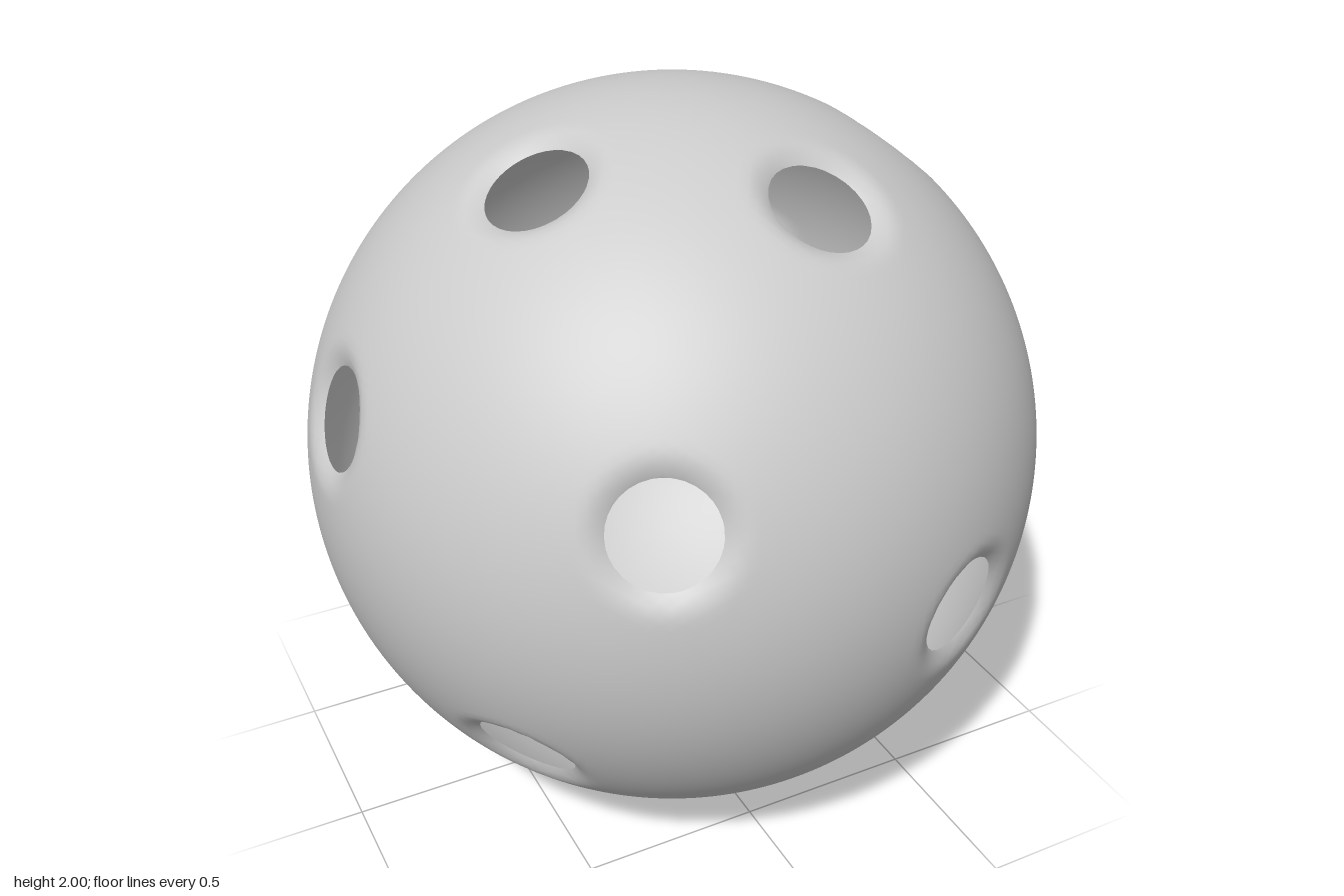
import * as THREE from 'three';
import { mergeVertices } from 'three/addons/utils/BufferGeometryUtils.js';

// Directions of the hole centres, seen from the centre of the ball
const HOLES = [
  [-0.43, 0.27, 0.82], [0.36, -0.13, 0.885], [-0.66, -0.5, 0.49], [0.13, -0.86, 0.42],
  [0.96, 0, 0.15], [0.15, 0.82, 0.48], [-0.43, 0.85, 0.14], [0.62, 0.74, 0],
  [0.63, 0.14, -0.72], [0.75, -0.6, -0.08], [0.34, -0.39, -0.81], [-0.3, 0.615, -0.68],
  [0.15, 0.82, -0.48], [-0.92, 0.28, 0], [-0.44, 0.01, -0.86], [-0.34, -0.86, -0.27],
].map((p) => new THREE.Vector3(...p).normalize());

const HOLE_ANGLE = 0.139; // angular radius of each opening
const RIM_ANGLE = 0.2;    // where the softened rim meets the sphere
const RIM_DEPTH = 0.027;  // how far the rim sinks inward

function perforatedSphere() {
  let geo = new THREE.IcosahedronGeometry(1, 44);
  geo.deleteAttribute('uv');
  geo.deleteAttribute('normal');
  geo = mergeVertices(geo, 1e-4);

  const pos = geo.attributes.position;
  const inside = new Int8Array(pos.count).fill(-1);
  const v = new THREE.Vector3();
  const side = new THREE.Vector3();

  // Push points out of each opening onto its edge and sink the rim around it
  for (let i = 0; i < pos.count; i++) {
    v.fromBufferAttribute(pos, i).normalize();
    HOLES.forEach((dir, h) => {
      const angle = v.angleTo(dir);
      if (angle >= RIM_ANGLE) return;
      if (angle <= HOLE_ANGLE) inside[i] = h;
      const a = Math.max(angle, HOLE_ANGLE);
      const t = (RIM_ANGLE - a) / (RIM_ANGLE - HOLE_ANGLE);
      side.copy(v).addScaledVector(dir, -v.dot(dir)).normalize();
      v.copy(dir).multiplyScalar(Math.cos(a)).addScaledVector(side, Math.sin(a));
      v.multiplyScalar(1 - RIM_DEPTH * t * t);
    });
    pos.setXYZ(i, v.x, v.y, v.z);
  }

  // Drop the triangles that lie wholly within an opening
  const kept = [];
  const index = geo.index.array;
  for (let i = 0; i < index.length; i += 3) {
    const [a, b, c] = [index[i], index[i + 1], index[i + 2]];
    const open = inside[a] >= 0 && inside[a] === inside[b] && inside[a] === inside[c];
    if (!open) kept.push(a, b, c);
  }
  geo.setIndex(kept);
  geo.computeVertexNormals();
  return geo;
}

export function createModel() {
  const group = new THREE.Group();
  group.name = 'perforatedBall';
  const material = new THREE.MeshStandardMaterial({ color: 0xcccccc, side: THREE.DoubleSide });
  const shell = new THREE.Mesh(perforatedSphere(), material);
  shell.name = 'shell';
  shell.position.y = 1;
  group.add(shell);
  return group;
}
